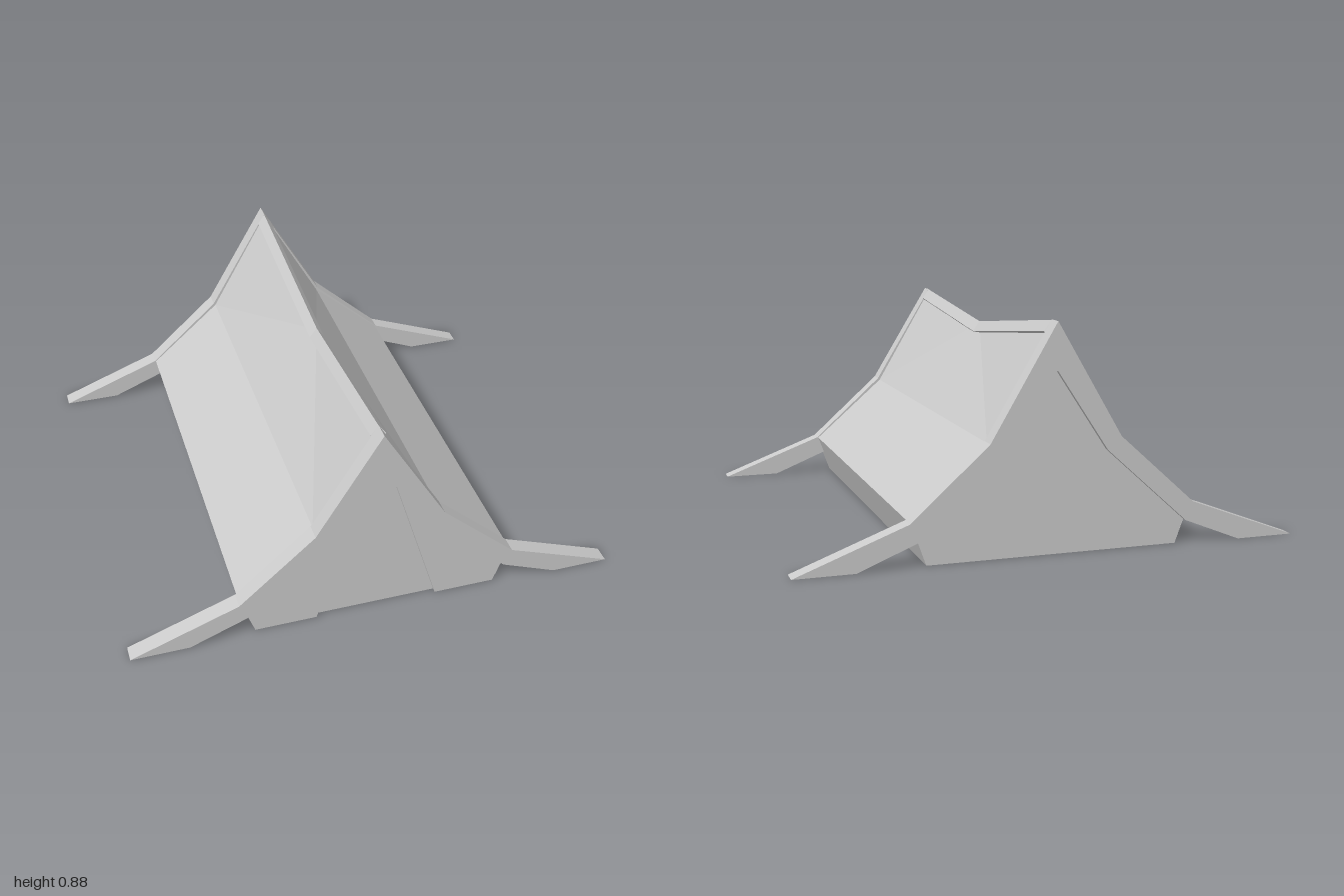
import * as THREE from 'three';

const mat = new THREE.MeshStandardMaterial({ color: 0xcccccc, flatShading: true, side: THREE.DoubleSide });

const FRAME = 0.9;      // outer face of the end frames
const GABLE = 0.88;     // outer face of the end walls
const DOOR = 0.86;      // depth of the recessed door
const END = 0.832;      // inner face of the end frames, end of the roof
const MID = 0.03;       // lowest point of the sagging ridge
const RIDGE = [[END, 0.866], [MID, 0.79], [-END, 0.88]]; // [z, y]

// Flat slab from an outline of [x, y] points, spanning z0 to z1
function slab(name, points, z0, z1) {
  const shape = new THREE.Shape(points.map(p => new THREE.Vector2(...p)));
  const geo = new THREE.ExtrudeGeometry(shape, { depth: z1 - z0, bevelEnabled: false });
  geo.translate(0, 0, z0);
  const mesh = new THREE.Mesh(geo, mat);
  mesh.name = name;
  return mesh;
}

// Full symmetric outline from its +x half
function mirrored(half) {
  const left = half.filter(p => p[0] > 0).map(([x, y]) => [-x, y]).reverse();
  return [...half, ...left];
}

// Mesh from planar triangle/quad faces, repeated on both sides of x = 0
function sidedMesh(name, faces) {
  const pos = [];
  for (const s of [1, -1]) {
    for (const face of faces) {
      for (let i = 1; i < face.length - 1; i++) {
        const tri = [face[0], face[i], face[i + 1]];
        if (s < 0) tri.reverse();
        tri.forEach(([x, y, z]) => pos.push(s * x, y, z));
      }
    }
  }
  const geo = new THREE.BufferGeometry();
  geo.setAttribute('position', new THREE.Float32BufferAttribute(pos, 3));
  geo.computeVertexNormals();
  const mesh = new THREE.Mesh(geo, mat);
  mesh.name = name;
  return mesh;
}

// Bent A-frame with splayed feet
function endFrame(name, top, z0, z1) {
  const outer = [[0, top], [0.26, 0.44], [0.565, 0.165], [1, 0]];
  const inner = [[0.765, 0], [0.535, 0.093], [0.205, 0.39], [0, 0.7]];
  return slab(name, mirrored([...outer, ...inner]), z0, z1);
}

export function createModel() {
  const group = new THREE.Group();

  group.add(endFrame('frontFrame', 0.868, END, FRAME));
  group.add(endFrame('backFrame', 0.882, -FRAME, -END));

  // Roof: folded upper panels under the sagging ridge, flat lower panels
  const drop = 0.006;
  const [rf, rm, rb] = RIDGE.map(([z, y]) => [0, y - drop, z]);
  const knee = z => [0.252, 0.432, z];
  const eave = z => [0.56, 0.163, z];
  const foot = z => [0.5, 0, z];
  group.add(sidedMesh('roofUpper', [
    [rf, knee(END), rm],
    [rm, knee(END), knee(-END)],
    [rm, knee(-END), rb],
  ]));
  group.add(sidedMesh('roofLower', [[knee(END), eave(END), eave(-END), knee(-END)]]));

  // Tucked-in side walls and floor
  group.add(sidedMesh('sideWall', [[eave(GABLE), foot(GABLE), foot(-GABLE), eave(-GABLE)]]));
  group.add(sidedMesh('floor', [[[0, 0, DOOR], [0, 0, -GABLE], foot(-GABLE), foot(DOOR)]]));

  // Back wall and recessed door wall
  const wall = mirrored([[0, 0.83], [0.25, 0.42], [0.555, 0.155], [0.5, 0]]);
  group.add(slab('backWall', wall, -GABLE, -GABLE + 0.01));
  group.add(slab('doorWall', wall, DOOR - 0.01, DOOR));

  // Fixed front panels on either side of the door
  for (const s of [1, -1]) {
    const panel = [[0.25, 0], [0.5, 0], [0.555, 0.155], [0.25, 0.42], [0.033, 0.7]];
    group.add(slab('frontPanel', panel.map(([x, y]) => [s * x, y]), DOOR, GABLE));
  }

  // Peaked cap along the ridge
  const cap = [];
  for (let i = 0; i < 2; i++) {
    const [[z0, y0], [z1, y1]] = [RIDGE[i], RIDGE[i + 1]];
    const edge = (z, y) => [0.03, y - 0.041, z];
    const lip = (z, y) => [0.024, y - 0.048, z];
    cap.push([[0, y0, z0], edge(z0, y0), edge(z1, y1), [0, y1, z1]]);
    cap.push([edge(z0, y0), lip(z0, y0), lip(z1, y1), edge(z1, y1)]);
  }
  group.add(sidedMesh('ridgeCap', cap));

  return group;
}
